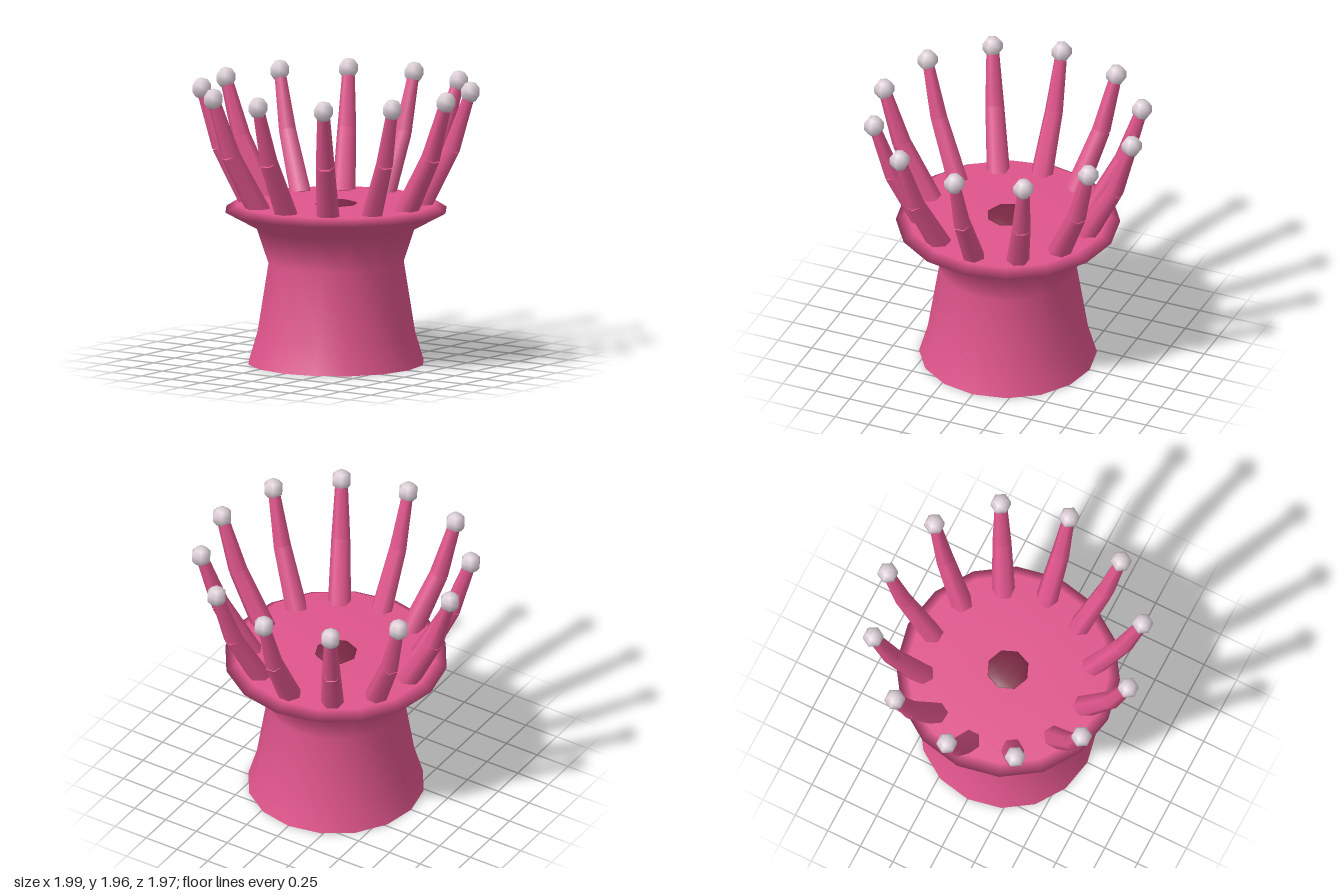
import * as THREE from 'three';

const flesh = new THREE.MeshStandardMaterial({ name: 'pink flesh', color: 0xe0558c });
const mouthMat = new THREE.MeshStandardMaterial({ name: 'dark mouth', color: 0x7a2742 });
const tipMat = new THREE.MeshStandardMaterial({ name: 'pale tip', color: 0xdccfd6 });

function addMesh(parent, name, geometry, material) {
  const mesh = new THREE.Mesh(geometry, material);
  mesh.name = name;
  parent.add(mesh);
  return mesh;
}

// Six-sided tapered limb between two points [radius, height] in the XY plane
function addLimb(parent, name, a, b, ra, rb) {
  const dx = b[0] - a[0], dy = b[1] - a[1];
  const limb = addMesh(parent, name, new THREE.CylinderGeometry(rb, ra, Math.hypot(dx, dy), 6), flesh);
  limb.position.set((a[0] + b[0]) / 2, (a[1] + b[1]) / 2, 0);
  limb.rotation.z = -Math.atan2(dx, dy);
}

export function createModel() {
  const model = new THREE.Group();
  model.name = 'seaAnemone';

  // Waisted column flaring into the oral disc
  const profile = [[0.61, 0], [0.55, 0.2], [0.47, 0.7], [0.55, 0.94], [0.77, 1.06], [0.69, 1.11], [0, 1.1]]
    .map(([x, y]) => new THREE.Vector2(x, y));
  addMesh(model, 'column', new THREE.LatheGeometry(profile, 16), flesh);
  addMesh(model, 'foot', new THREE.CircleGeometry(0.61, 16), flesh).rotation.x = Math.PI / 2;

  // Low domed mouth
  const mouth = addMesh(model, 'mouth', new THREE.SphereGeometry(0.16, 8, 6), mouthMat);
  mouth.scale.y = 0.22;
  mouth.position.y = 1.092;

  // Ring of bent tentacles with round tips
  const root = [0.577, 1.08], bend = [0.795, 1.49], end = [0.925, 1.89];
  for (let i = 0; i < 12; i++) {
    const angle = (i / 12) * Math.PI * 2;
    const tentacle = new THREE.Group();
    tentacle.name = 'tentacle';
    tentacle.rotation.y = angle;
    addLimb(tentacle, 'lowerTentacle', root, bend, 0.08, 0.065);
    addLimb(tentacle, 'upperTentacle', bend, end, 0.065, 0.042);
    model.add(tentacle);

    const tip = addMesh(model, 'tentacleTip', new THREE.SphereGeometry(0.074, 6, 5), tipMat);
    tip.position.set(Math.cos(angle) * end[0], end[1], -Math.sin(angle) * end[0]);
  }
  return model;
}
